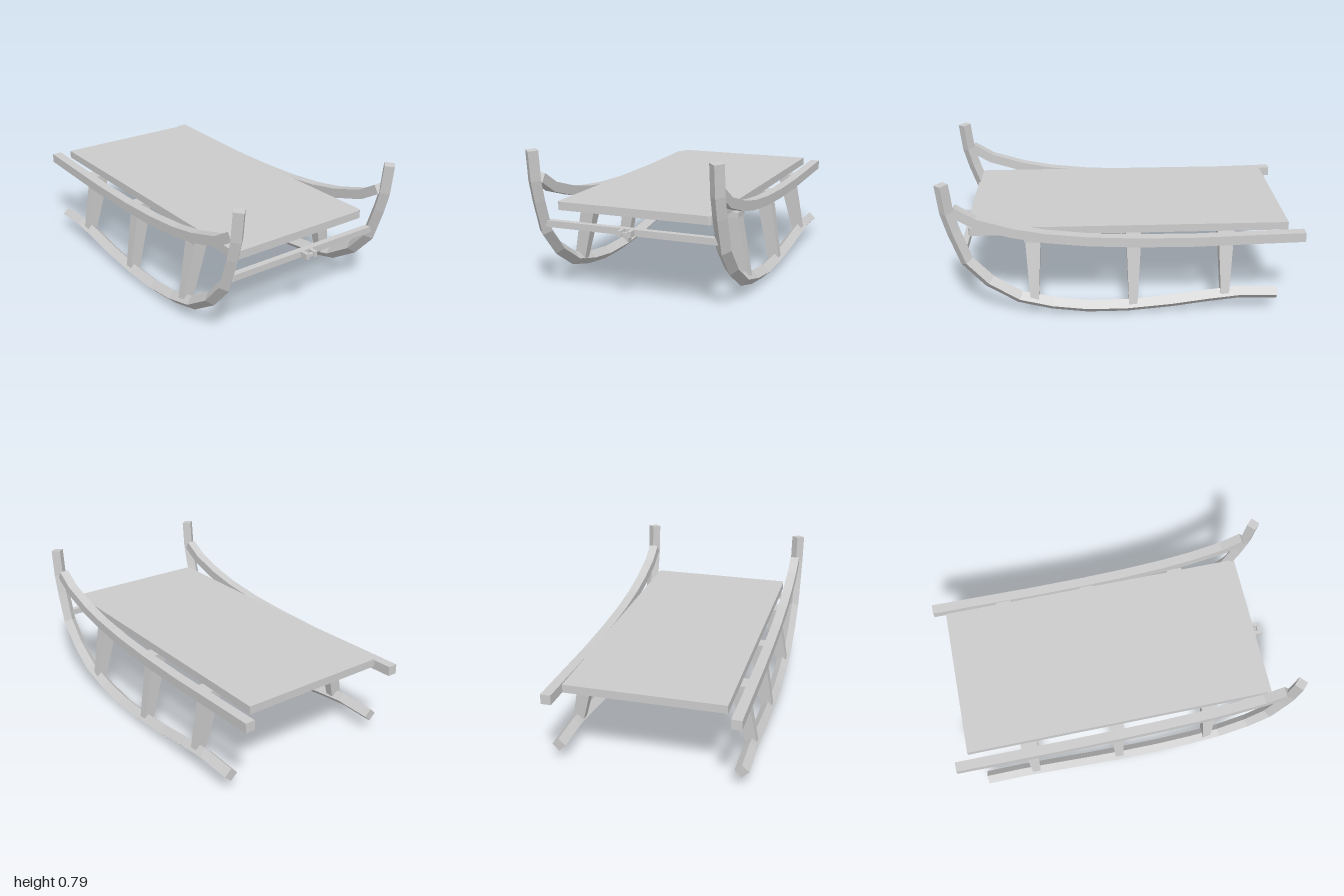
import * as THREE from 'three';

const mat = new THREE.MeshStandardMaterial({ color: 0xcccccc, flatShading: true });

// Sweep a four-cornered section [x, normal] along a path of [z, y] points, front to rear
function sweep(path, section) {
  const rings = path.map(([z, y], i) => {
    const a = path[Math.max(i - 1, 0)], b = path[Math.min(i + 1, path.length - 1)];
    const len = Math.hypot(b[0] - a[0], b[1] - a[1]);
    const tz = (b[0] - a[0]) / len, ty = (b[1] - a[1]) / len;
    return section.map(([x, n]) => [x, y - tz * n, z + ty * n]);
  });
  const pos = [];
  const quad = (a, b, c, d) => pos.push(...a, ...b, ...c, ...a, ...c, ...d);
  for (let i = 0; i < rings.length - 1; i++) {
    for (let j = 0; j < 4; j++) {
      const k = (j + 1) % 4;
      quad(rings[i][j], rings[i + 1][j], rings[i + 1][k], rings[i][k]);
    }
  }
  quad(...rings[0]);
  quad(...[...rings[rings.length - 1]].reverse());
  const geo = new THREE.BufferGeometry();
  geo.setAttribute('position', new THREE.Float32BufferAttribute(pos, 3));
  geo.computeVertexNormals();
  return geo;
}

// Leaning, tapered post: each end is { x, y, z, w, d }
function postGeometry(top, bottom) {
  const geo = new THREE.BoxGeometry(1, 1, 1);
  const p = geo.attributes.position;
  for (let i = 0; i < p.count; i++) {
    const e = p.getY(i) > 0 ? top : bottom;
    p.setXYZ(i, e.x + p.getX(i) * e.w, e.y, e.z + p.getZ(i) * e.d);
  }
  geo.computeVertexNormals();
  return geo;
}

export function createModel() {
  const sled = new THREE.Group();
  sled.name = 'sled';
  const add = (name, geo, x = 0, y = 0, z = 0) => {
    const mesh = new THREE.Mesh(geo, mat);
    mesh.name = name;
    mesh.position.set(x, y, z);
    sled.add(mesh);
    return mesh;
  };
  const box = (name, w, h, d, x, y, z) => add(name, new THREE.BoxGeometry(w, h, d), x, y, z);

  const runnerPath = [[0.96, 0.79], [0.944, 0.63], [0.915, 0.52], [0.855, 0.342], [0.74, 0.214],
    [0.577, 0.11], [0.398, 0.064], [0.2, 0.039], [-0.02, 0.039], [-0.265, 0.06],
    [-0.473, 0.088], [-0.65, 0.107], [-0.865, 0.1]];
  const railPath = [[0.915, 0.64], [0.8, 0.57], [0.606, 0.51], [0.425, 0.475], [0.195, 0.45],
    [-0.07, 0.437], [-0.39, 0.434], [-0.71, 0.442], [-1, 0.449]];
  const diamond = [[0, -0.038], [0.039, 0], [0, 0.038], [-0.039, 0]];
  const square = [[-0.028, -0.027], [0.028, -0.027], [0.028, 0.027], [-0.028, 0.027]];

  // Post heights and positions along the sled
  const posts = [
    { name: 'frontPost', z: 0.497, zb: 0.497, top: 0.43, bottom: 0.09 },
    { name: 'middlePost', z: -0.057, zb: -0.053, top: 0.455, bottom: 0.045 },
    { name: 'rearPost', z: -0.57, zb: -0.568, top: 0.43, bottom: 0.11 },
  ];

  for (const s of [1, -1]) {
    const side = s > 0 ? 'left' : 'right';
    add(side + 'Runner', sweep(runnerPath, diamond), s * 0.503);
    add(side + 'Rail', sweep(railPath, square), s * 0.495);
    for (const p of posts) {
      add(side + '_' + p.name, postGeometry(
        { x: s * 0.422, y: p.top, z: p.z, w: 0.086, d: 0.083 },
        { x: s * 0.497, y: p.bottom, z: p.zb, w: 0.064, d: 0.046 }));
    }
  }

  // Bars carrying the seat
  box('frontSeatBar', 0.94, 0.03, 0.095, 0, 0.442, 0.497);
  box('rearSeatBar', 0.94, 0.03, 0.095, 0, 0.442, -0.572);

  // Seat board with rounded front corners
  const w = 0.435, back = -0.92, front = 0.85, r = 0.022;
  const board = new THREE.Shape();
  board.moveTo(-w, back);
  board.lineTo(w, back);
  board.lineTo(w, front - r);
  board.quadraticCurveTo(w, front, w - r, front);
  board.lineTo(-w + r, front);
  board.quadraticCurveTo(-w, front, -w, front - r);
  const boardGeo = new THREE.ExtrudeGeometry(board, { depth: 0.045, bevelEnabled: false, curveSegments: 4 });
  boardGeo.rotateX(Math.PI / 2);
  add('seatBoard', boardGeo, 0, 0.503, 0);

  // Front crossbar with slanted ends
  const bar = new THREE.Shape([[-0.485, 0.372], [0.485, 0.372], [0.47, 0.407], [-0.47, 0.407]]
    .map(([x, y]) => new THREE.Vector2(x, y)));
  add('frontCrossbar', new THREE.ExtrudeGeometry(bar, { depth: 0.035, bevelEnabled: false }), 0, 0, 0.856);

  // Tow bracket: two prongs joined by a pin
  for (const s of [1, -1]) box('towProng', 0.02, 0.032, 0.045, s * 0.027, 0.39, 0.912);
  box('towPin', 0.04, 0.016, 0.016, 0, 0.39, 0.922);

  sled.position.x = -0.003;
  const root = new THREE.Group();
  root.add(sled);
  return root;
}
